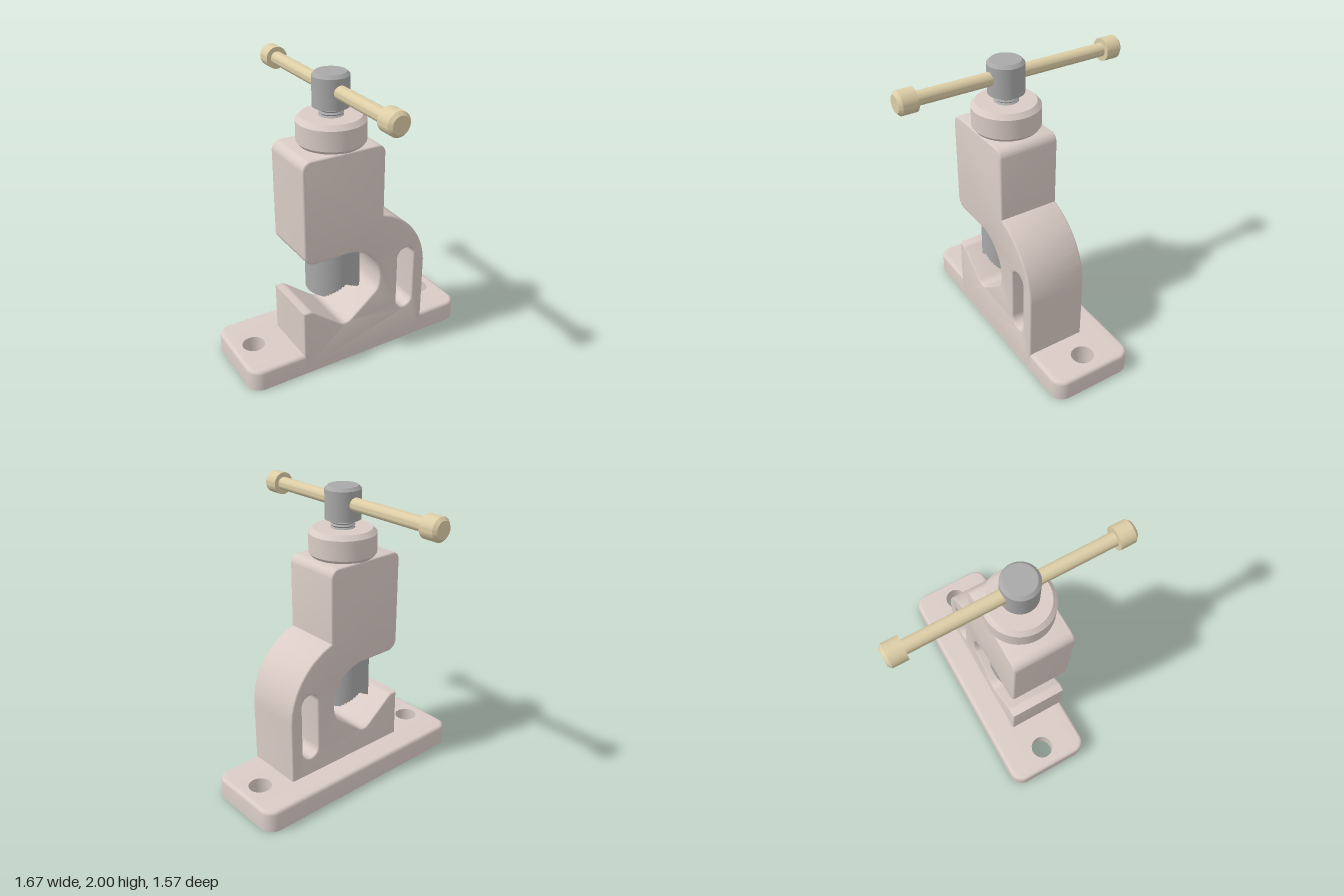
import * as THREE from 'three';
import { toCreasedNormals } from 'three/addons/utils/BufferGeometryUtils.js';

const SX = -0.113, SZ = 0.053; // screw axis
const paint = (color) => new THREE.MeshStandardMaterial({ color });
const castPaint = paint(0xd9cbc5), steel = paint(0xa8a8a8), brass = paint(0xdccda6);

function add(group, name, geometry, material) {
  const mesh = new THREE.Mesh(toCreasedNormals(geometry, 0.6), material);
  mesh.name = name;
  group.add(mesh);
  return mesh;
}

const lathe = (points) =>
  new THREE.LatheGeometry(points.map(([r, y]) => new THREE.Vector2(r, y)), 48);

// Rounded plate with a soft top edge, sharp underside and two straight bolt holes
function baseGeometry() {
  const w = 0.835, d = 0.297, r = 0.09, b = 0.025, holeX = 0.685, holeR = 0.077;
  const shape = new THREE.Shape();
  [[1, 1], [-1, 1], [-1, -1], [1, -1]].forEach(([sx, sy], i) =>
    shape.absarc(sx * (w - r), sy * (d - r), r, i * Math.PI / 2, (i + 1) * Math.PI / 2));
  for (const s of [-1, 1])
    shape.holes.push(new THREE.Path().absarc(s * holeX, 0, holeR, 0, Math.PI * 2, true));
  const g = new THREE.ExtrudeGeometry(shape, {
    depth: 0.15 - b, bevelSize: b, bevelThickness: b, bevelOffset: -b, bevelSegments: 4, curveSegments: 16,
  });
  g.rotateX(-Math.PI / 2);
  const p = g.attributes.position;
  for (let i = 0; i < p.count; i++) {
    const x = p.getX(i), z = p.getZ(i), cx = Math.sign(x) * holeX;
    const dist = Math.hypot(x - cx, z);
    p.setY(i, Math.max(0, p.getY(i)));
    if (dist < 0.15) {
      p.setX(i, cx + (x - cx) * holeR / dist);
      p.setZ(i, z * holeR / dist);
    }
  }
  return g.translate(0, 0, -0.036);
}

// C-shaped frame with V seat, upper block and weight-saving slot
function frameGeometry() {
  const PI = Math.PI, b = 0.012;
  const s = new THREE.Shape();
  s.moveTo(-0.45, 0.03);
  s.lineTo(0.5, 0.03);
  s.absarc(0.007, 0.58, 0.4935, 0, 1.262);
  s.absarc(0.097, 1.49, 0.06, 0, PI / 2);
  s.absarc(-0.37, 1.49, 0.06, PI / 2, PI);
  s.absarc(-0.36, 0.91, 0.07, PI, PI * 1.5);
  s.absarc(-0.12, 0.585, 0.255, PI / 2, -0.1, true);
  s.quadraticCurveTo(0.13, 0.505, 0.105, 0.48);
  s.lineTo(-0.085, 0.325);
  s.quadraticCurveTo(-0.135, 0.285, -0.185, 0.325);
  s.lineTo(-0.375, 0.475);
  s.quadraticCurveTo(-0.39, 0.487, -0.41, 0.487);
  s.lineTo(-0.45, 0.487);
  s.closePath();
  const slot = new THREE.Path();
  slot.absarc(0.345, 0.68, 0.065, 0, PI);
  slot.absarc(0.345, 0.335, 0.065, PI, PI * 2);
  slot.closePath();
  s.holes.push(slot);
  return new THREE.ExtrudeGeometry(s, {
    depth: 0.414 - 2 * b, bevelSize: b, bevelThickness: b, bevelOffset: -b, bevelSegments: 3, curveSegments: 20,
  }).translate(0, 0, -0.152 + b);
}

// Round plunger whose underside is a toothed V groove running front to back
function jawGeometry() {
  const r = 0.184, n = 56;
  const g = new THREE.BoxGeometry(1, 1, 1, n, 1, 1);
  const p = g.attributes.position;
  for (let i = 0; i < p.count; i++) {
    const u = p.getX(i), x = r * Math.sin(Math.PI * u);
    const inV = Math.abs(x) < 0.13;
    const tooth = inV && Math.round((u + 0.5) * n) % 2 ? 0.01 : 0;
    const bottom = 0.51 + 0.08 * Math.max(0, 1 - Math.abs(x) / 0.13) + tooth;
    p.setXYZ(i, x, p.getY(i) > 0 ? 0.95 : bottom,
      Math.sign(p.getZ(i)) * r * Math.cos(Math.PI * u));
  }
  return g.translate(SX, 0, SZ);
}

export function createModel() {
  const model = new THREE.Group();
  model.name = 'clamp';

  add(model, 'base', baseGeometry(), castPaint);
  add(model, 'frame', frameGeometry(), castPaint);
  add(model, 'jaw', jawGeometry(), steel);

  // Parts turned about the screw axis
  const screw = new THREE.Group();
  screw.name = 'screwAssembly';
  screw.position.set(SX, 0, SZ);
  model.add(screw);

  add(screw, 'collar', lathe([
    [0, 1.54], [0.2, 1.54], [0.223, 1.57], [0.223, 1.7], [0.195, 1.73], [0, 1.73],
  ]), castPaint);

  const thread = [[0, 1.7]];
  for (let i = 0; i <= 10; i++) thread.push([i % 2 ? 0.08 : 0.07, 1.7 + i * 0.01]);
  thread.push([0, 1.8]);
  add(screw, 'thread', lathe(thread), steel);

  add(screw, 'screwHead', lathe([
    [0, 1.787], [0.118, 1.787], [0.118, 1.98], [0.098, 2], [0, 2],
  ]), steel);

  // Tommy bar with a chamfered cap on each end
  const bar = new THREE.Group();
  bar.name = 'handle';
  bar.position.set(SX, 1.897, 0);
  bar.rotation.x = Math.PI / 2;
  model.add(bar);
  add(bar, 'handleBar', new THREE.CylinderGeometry(0.044, 0.044, 1.4, 32), brass);
  for (const side of [-1, 1]) {
    const cap = add(bar, 'handleCap', lathe([
      [0, 0.665], [0.075, 0.665], [0.075, 0.765], [0.055, 0.785], [0, 0.785],
    ]), brass);
    if (side < 0) cap.rotation.x = Math.PI;
  }
  return model;
}
